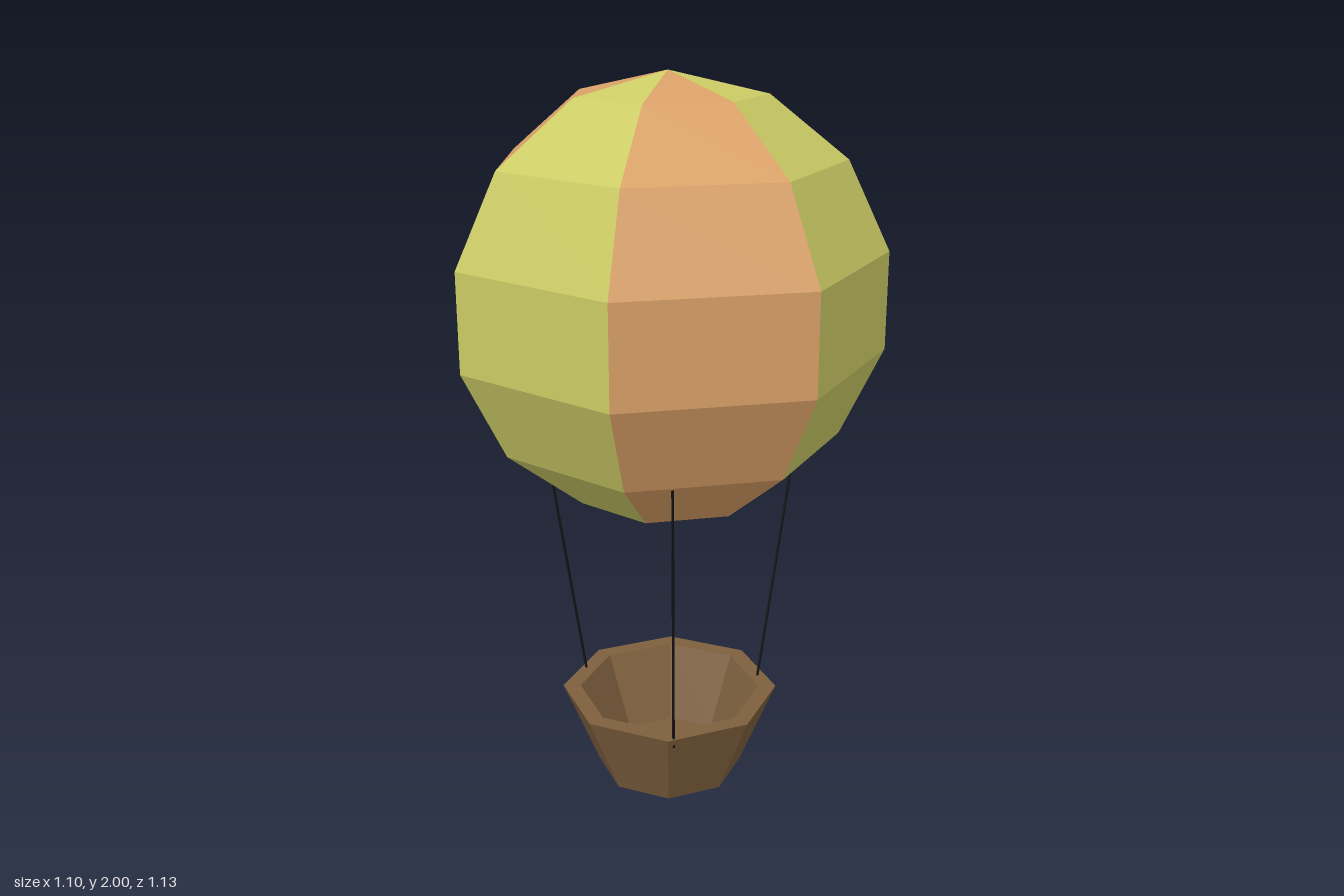
import * as THREE from 'three';

const CX = -0.03; // shared vertical axis of envelope and basket
const GORES = 7;
const R = 0.595, CY = 1.405;

const mat = (color, side = THREE.FrontSide) =>
  new THREE.MeshStandardMaterial({ color, flatShading: true, side });

function addMesh(parent, name, geometry, material) {
  const mesh = new THREE.Mesh(geometry, material);
  mesh.name = name;
  parent.add(mesh);
  return mesh;
}

// Faceted balloon with alternating coloured gores, open at the mouth
function createEnvelope() {
  const group = new THREE.Group();
  group.name = 'envelope';
  const profile = [new THREE.Vector2(0.2, 0.855)];
  for (let i = 6; i >= 0; i--) {
    const a = (i * Math.PI) / 7;
    profile.push(new THREE.Vector2(i ? R * Math.sin(a) : 0, CY + R * Math.cos(a)));
  }
  const green = mat(0xcccc66, THREE.DoubleSide);
  const orange = mat(0xd9a066, THREE.DoubleSide);
  const step = (Math.PI * 2) / GORES;
  for (let i = 0; i < GORES; i++) {
    const gore = new THREE.LatheGeometry(profile, 1, Math.PI / 2 - (i + 1) * step, step);
    addMesh(group, `gore${i + 1}`, gore, i % 2 ? orange : green);
  }
  group.position.x = CX;
  return group;
}

// Flared octagonal basket with thick wall and floor
function createBasket() {
  const profile = [[0, 0], [0.205, 0], [0.31, 0.25], [0.26, 0.25], [0.175, 0.04], [0, 0.04]]
    .map(([r, y]) => new THREE.Vector2(r, y));
  const basket = new THREE.Mesh(new THREE.LatheGeometry(profile, 8), mat(0x7d5f3d));
  basket.name = 'basket';
  basket.position.x = CX;
  return basket;
}

// Thin straight rope between two points
function createRope(from, to, material) {
  const a = new THREE.Vector3(...from), b = new THREE.Vector3(...to);
  const dir = b.clone().sub(a);
  const rope = new THREE.Mesh(new THREE.CylinderGeometry(0.004, 0.004, dir.length(), 6), material);
  rope.position.copy(a).add(b).multiplyScalar(0.5);
  rope.quaternion.setFromUnitVectors(new THREE.Vector3(0, 1, 0), dir.normalize());
  return rope;
}

export function createModel() {
  const model = new THREE.Group();
  model.name = 'hotAirBalloon';
  model.add(createEnvelope(), createBasket());

  const ropeMaterial = mat(0x111111);
  const ropes = [
    ['frontRope', [-0.015, 0.22, 0.29], [-0.015, 1.03, 0.415]],
    ['leftRope', [0.226, 0.22, -0.061], [0.343, 1.04, -0.175]],
    ['rightRope', [-0.276, 0.22, -0.109], [-0.397, 1.04, -0.143]],
  ];
  for (const [name, from, to] of ropes) {
    const rope = createRope(from, to, ropeMaterial);
    rope.name = name;
    model.add(rope);
  }
  return model;
}
